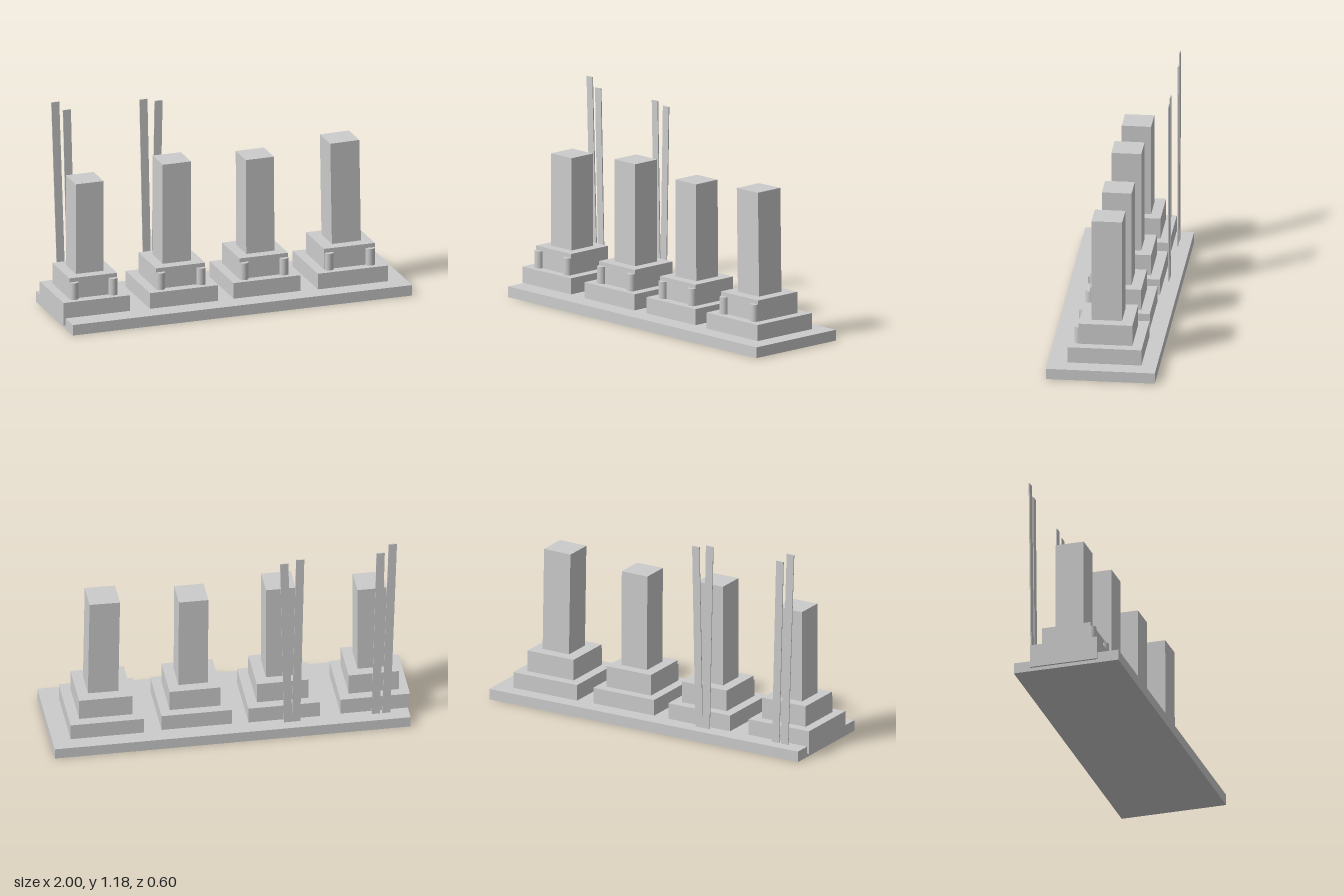
import * as THREE from 'three';

const stone = new THREE.MeshStandardMaterial({ color: 0xcccccc });
stone.name = 'pale grey';

function add(parent, name, geometry, x, y, z, tilt = 0) {
  const mesh = new THREE.Mesh(geometry, stone);
  mesh.name = name;
  mesh.position.set(x, y, z);
  mesh.rotation.z = tilt;
  parent.add(mesh);
  return mesh;
}

// Box given by its bottom and top heights
function block(parent, name, w, d, bottom, top, x, z, tilt = 0) {
  return add(parent, name, new THREE.BoxGeometry(w, top - bottom, d), x, (bottom + top) / 2, z, tilt);
}

// Stepped pedestal with a pillar and two round posts set into its front
function createTower({ x, base, step, pillar, top, tilt, post }) {
  const tower = new THREE.Group();
  tower.name = 'tower';
  tower.position.set(x, 0, -0.011);
  block(tower, 'lowerStep', base, base, 0.02, 0.152, 0, 0);
  block(tower, 'upperStep', step, step, 0.152, 0.272, 0, 0);
  block(tower, 'pillar', pillar, pillar, 0.272, top, 0, 0, tilt);
  for (const side of [-1, 1]) {
    add(tower, 'frontPost', new THREE.CylinderGeometry(0.026, 0.026, 0.097, 24), side * post, 0.2, step / 2);
  }
  return tower;
}

// Thin leaning slat standing behind a tower
function createSlat(parent, xBottom, xTop, yTop, z) {
  const dx = xTop - xBottom, dy = yTop - 0.06;
  const geometry = new THREE.BoxGeometry(0.046, Math.hypot(dx, dy), 0.006);
  add(parent, 'slat', geometry, (xBottom + xTop) / 2, (0.06 + yTop) / 2, z, -Math.atan2(dx, dy));
}

export function createModel() {
  const model = new THREE.Group();
  model.name = 'towerRow';

  // Ground slab
  block(model, 'slab', 1.988, 0.604, 0, 0.061, 0.006, 0);

  // Four towers
  [
    { x: -0.806, base: 0.388, step: 0.28, pillar: 0.163, top: 0.795, tilt: 0, post: 0.115 },
    { x: -0.296, base: 0.398, step: 0.288, pillar: 0.166, top: 0.85, tilt: 0, post: 0.119 },
    { x: 0.192, base: 0.392, step: 0.285, pillar: 0.165, top: 0.82, tilt: 0.005, post: 0.117 },
    { x: 0.692, base: 0.411, step: 0.298, pillar: 0.17, top: 0.859, tilt: 0.016, post: 0.121 },
  ].forEach((spec) => model.add(createTower(spec)));

  // Two pairs of slats at the back
  createSlat(model, -0.862, -0.899, 1.178, -0.234);
  createSlat(model, -0.804, -0.831, 1.125, -0.234);
  createSlat(model, -0.358, -0.381, 1.132, -0.238);
  createSlat(model, -0.313, -0.292, 1.114, -0.238);

  return model;
}
